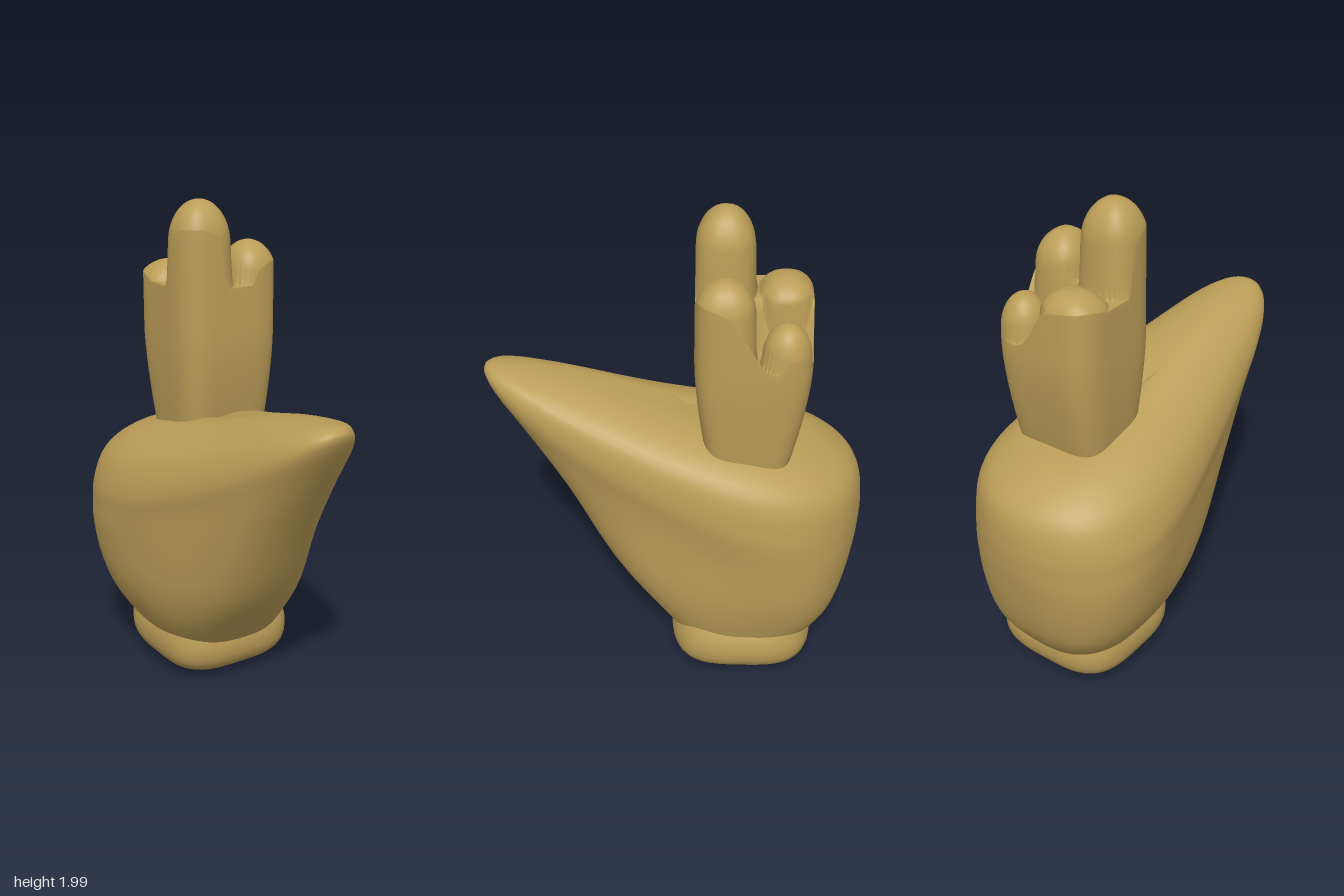
import * as THREE from 'three';

const SEG = 144;
const pow = (v, e) => Math.sign(v) * Math.abs(v) ** e;

// Smooth closed skin through rows of points; each row is a loop, rows run upwards
function skin(rows) {
  const pos = [], idx = [];
  rows.forEach(r => r.forEach(p => pos.push(...p)));
  const at = (i, j) => i * SEG + (j % SEG);
  for (let i = 0; i < rows.length - 1; i++)
    for (let j = 0; j < SEG; j++)
      idx.push(at(i, j), at(i, j + 1), at(i + 1, j + 1), at(i, j), at(i + 1, j + 1), at(i + 1, j));
  const cap = (i, top) => {
    const c = pos.length / 3;
    pos.push(...[0, 1, 2].map(k => rows[i].reduce((s, p) => s + p[k], 0) / SEG));
    for (let j = 0; j < SEG; j++) idx.push(c, at(i, top ? j : j + 1), at(i, top ? j + 1 : j));
  };
  cap(0, false);
  cap(rows.length - 1, true);
  const g = new THREE.BufferGeometry();
  g.setAttribute('position', new THREE.Float32BufferAttribute(pos, 3));
  g.setIndex(idx);
  g.computeVertexNormals();
  return g;
}

// Loop of points from a rule of sine and cosine (cosine = front)
const loop = rule => Array.from({ length: SEG }, (_, j) => {
  const a = (j / SEG) * Math.PI * 2;
  return rule(Math.sin(a), Math.cos(a));
});

// Rounded-square loop with evenly spread points
const squareLoop = rule => loop((s, c) => {
  const n = 4.4, m = (Math.abs(s) ** n + Math.abs(c) ** n) ** (1 / n);
  return rule(s / m, c / m);
});

// Interpolate a coarse list of number rows smoothly
function refine(list, steps) {
  const out = [], n = list.length;
  for (let i = 0; i < n - 1; i++)
    for (let k = 0; k < steps; k++) {
      const t = k / steps;
      out.push(list[i].map((v, m) => {
        const p = list[Math.max(i - 1, 0)][m], q = list[i + 1][m], r = list[Math.min(i + 2, n - 1)][m];
        return 0.5 * (2 * v + (q - p) * t + (2 * p - 5 * v + 4 * q - r) * t * t + (3 * v - p - 3 * q + r) * t ** 3);
      }));
    }
  out.push(list[n - 1]);
  return out;
}

// Fingers: x, z, half width, half depth, tip height, dome height, squareness
const FINGERS = [
  [-0.04, -0.18, 0.115, 0.112, 2.0, 0.17, 0.8],
  [0.188, -0.18, 0.101, 0.112, 1.822, 0.14, 0.8],
  [-0.037, -0.412, 0.117, 0.1, 1.73, 0.09, 0.76],
  [0.195, -0.41, 0.09, 0.092, 1.65, 0.14, 1],
];

// Height of the hand: valley floor joined softly with the finger domes
function handHeight(x, z) {
  const nearSmall = Math.hypot(x - 0.195, z + 0.41);
  const heights = [1.485 + 0.175 * THREE.MathUtils.smoothstep(nearSmall, 0.1, 0.21)];
  for (const [cx, cz, rx, rz, top, dome, e] of FINGERS) {
    const d = (Math.abs((x - cx) / rx) ** (2 / e) + Math.abs((z - cz) / rz) ** (2 / e)) ** (e / 2);
    heights.push(d < 1 ? top - dome * (1 - Math.sqrt(1 - d * d)) : top - dome - 3 * (d - 1));
  }
  const peak = Math.max(...heights), soft = 0.018;
  return peak + soft * Math.log(heights.reduce((s, h) => s + Math.exp((h - peak) / soft), 0));
}

// Palm and fingers as one skin: tapered walls, then rings closing over the fingertips
function handGeometry() {
  const CX = 0.067, CZ = -0.291, R = 0.221;
  const rows = [];
  for (let i = 0; i < 16; i++) rows.push(squareLoop((x, z) => {
    const y = 1 + (handHeight(CX + R * x, CZ + R * z) - 1) * (i / 16);
    const taper = Math.max(0, 1.45 - y) ** 1.5;
    return [CX + (R - 0.1 * taper) * x, y, CZ + (R - 0.215 * taper) * z + 0.03 * taper];
  }));
  for (let i = 0; i < 48; i++) {
    const k = R * (1 - (i / 48) ** 1.3);
    rows.push(squareLoop((u, v) => {
      const x = CX + k * u, z = CZ + k * v;
      return [x, handHeight(x, z), z];
    }));
  }
  return skin(rows);
}

export function createModel() {
  const group = new THREE.Group();
  const tan = new THREE.MeshStandardMaterial({ color: 0xbb9d57 });
  tan.name = 'tan';
  const add = (name, geometry) => {
    const m = new THREE.Mesh(geometry, tan);
    m.name = name;
    group.add(m);
  };

  // Wrist cuff: pillow-shaped rounded square with raised top corners (height, half width, corner lift)
  const cuff = refine([
    [0.005, 0.12, 0], [0.03, 0.225, 0], [0.09, 0.283, 0], [0.175, 0.292, 0.01],
    [0.25, 0.262, 0.04], [0.27, 0.215, 0.055], [0.24, 0.12, 0]], 3);
  add('wristCuff', skin(cuff.map(([y, r, lift]) => loop((s, c) =>
    [0.052 + r * pow(s, 0.6), y + lift * (2 * s * c) ** 2, -0.28 + r * pow(c, 0.6)]))));

  // Body: slanted teardrop loops
  // front z, front y, back z, back y, half width, x centre, taper, squareness, sag
  const body = refine([
    [-0.02, 0.15, -0.56, 0.15, 0.25, 0.05, 0, 0.75, 0],
    [0.12, 0.3, -0.66, 0.29, 0.325, 0.025, 0.2, 0.8, 0],
    [0.29, 0.51, -0.71, 0.44, 0.37, 0.01, 0.45, 0.88, 0.02],
    [0.47, 0.83, -0.74, 0.6, 0.383, 0, 0.75, 0.95, 0.06],
    [0.64, 1.1, -0.75, 0.7, 0.383, 0, 0.95, 1, 0.1],
    [0.745, 1.27, -0.75, 0.78, 0.38, 0, 1, 1, 0.12],
    [0.735, 1.32, -0.735, 0.88, 0.355, 0.01, 1, 1, 0.085],
    [0.66, 1.327, -0.69, 0.95, 0.305, 0.02, 1, 1, 0.055],
    [0.45, 1.295, -0.58, 1.02, 0.215, 0.02, 1, 1, 0.03],
    [0.2, 1.23, -0.45, 1.06, 0.11, 0.01, 1, 1, 0.01],
    [-0.08, 1.14, -0.16, 1.12, 0.01, 0.01, 1, 1, 0]], 3);
  add('body', skin(body.map(([zf, yf, zb, yb, w, cx, taper, e, sag]) => loop((s, c) => {
    const f = 1 + taper * (-0.09 - 0.5 * c + 0.25 * c * c + 0.1 * c ** 3);
    const t = (1 + pow(c, e)) / 2;
    const x = cx - 0.025 * taper * c * (1 + c) + w * f * pow(s, e);
    return [x, yb + (yf - yb) * t - sag * s * s, zb + (zf - zb) * t];
  }))));

  add('handWithFingers', handGeometry());
  return group;
}
